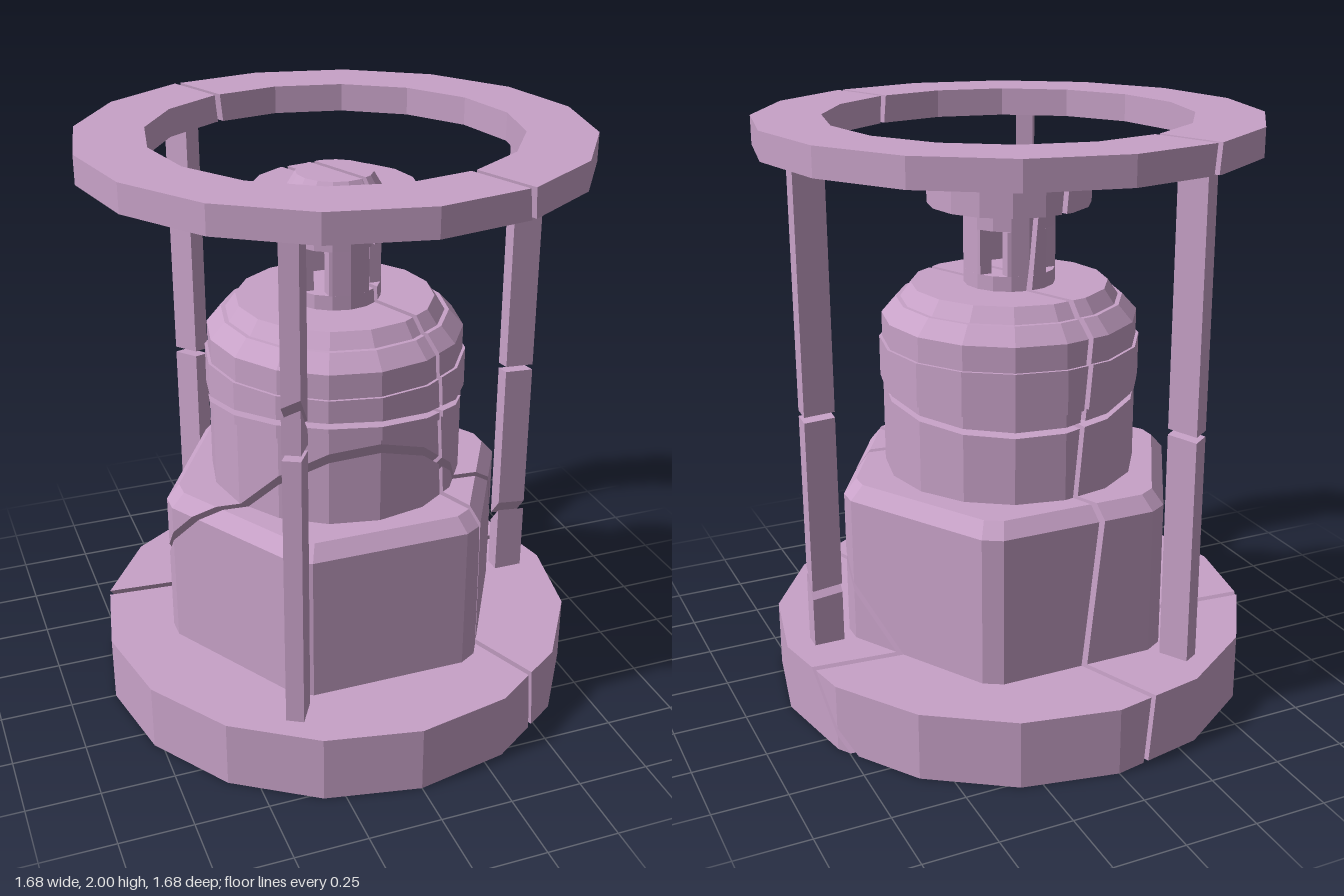
import * as THREE from 'three';

const SIDES = 16;
const HALF_GAP = 0.01;
const material = new THREE.MeshStandardMaterial({ color: 0xc8a2c8, flatShading: true });

// Three crack planes running through everything: normal . p = offset
const cracks = [
  [[1, 0.108, -0.4], 0.216],
  [[0.1, 1, -1.22], 0.535],
  [[0.05, 1, -0.13], 1.1],
].map(([n, d]) => {
  const normal = new THREE.Vector3(...n);
  const len = normal.length();
  return { normal: normal.divideScalar(len), offset: d / len };
});

const average = pts => pts.reduce((s, p) => s.add(p), new THREE.Vector3()).divideScalar(pts.length);

// Flat outlines as [x, z] pairs
const ngon = (r, n = SIDES) => Array.from({ length: n }, (_, i) => {
  const a = (i / n) * Math.PI * 2;
  return [r * Math.cos(a), r * Math.sin(a)];
});
const scaled = (pts, s) => pts.map(([x, z]) => [x * s, z * s]);
const turned = (pts, a) => pts.map(([x, z]) =>
  [x * Math.cos(a) - z * Math.sin(a), x * Math.sin(a) + z * Math.cos(a)]);

// Convex solid between two outlines; faces are wound outwards
function solid(y0, low, y1, high = low, hiddenSides = []) {
  const a = low.map(([x, z]) => new THREE.Vector3(x, y0, z));
  const b = high.map(([x, z]) => new THREE.Vector3(x, y1, z));
  const faces = [{ pts: [...a] }, { pts: [...b] }];
  a.forEach((p, i) => {
    const j = (i + 1) % a.length;
    faces.push({ pts: [p, a[j], b[j], b[i]], hidden: hiddenSides.includes(i) });
  });
  const centre = average([...a, ...b]);
  for (const f of faces) {
    const normal = f.pts[1].clone().sub(f.pts[0]).cross(f.pts[2].clone().sub(f.pts[0]));
    if (normal.dot(average(f.pts).sub(centre)) < 0) f.pts.reverse();
  }
  return faces;
}

// Keep the side where normal . p <= offset and cap the cut
function clip(faces, normal, offset) {
  const kept = [], rim = [];
  for (const { pts, hidden } of faces) {
    const out = [];
    pts.forEach((p, i) => {
      const q = pts[(i + 1) % pts.length];
      const dp = normal.dot(p) - offset, dq = normal.dot(q) - offset;
      if (dp <= 0) out.push(p);
      if (dp * dq < 0) {
        const cut = p.clone().lerp(q, dp / (dp - dq));
        out.push(cut);
        rim.push(cut);
      }
    });
    if (out.length > 2) kept.push({ pts: out, hidden });
  }
  if (kept.length && rim.length > 2) {
    const c = average(rim);
    const u = new THREE.Vector3(0.31, 0.57, 0.76).cross(normal).normalize();
    const v = normal.clone().cross(u);
    const angle = p => Math.atan2(p.clone().sub(c).dot(v), p.clone().sub(c).dot(u));
    kept.push({ pts: rim.sort((p, q) => angle(p) - angle(q)) });
  }
  return kept;
}

// Break the solids along every crack and merge the fragments into one mesh
function part(name, solids) {
  let pieces = solids;
  for (const { normal, offset } of cracks) {
    pieces = pieces.flatMap(f => [
      clip(f, normal, offset - HALF_GAP),
      clip(f, normal.clone().negate(), -offset - HALF_GAP),
    ]).filter(f => f.length);
  }
  const positions = [];
  for (const { pts, hidden } of pieces.flat()) {
    if (hidden) continue;
    const c = average(pts);
    pts.forEach((p, i) => {
      for (const w of [c, p, pts[(i + 1) % pts.length]]) positions.push(w.x, w.y, w.z);
    });
  }
  const geometry = new THREE.BufferGeometry();
  geometry.setAttribute('position', new THREE.Float32BufferAttribute(positions, 3));
  geometry.computeVertexNormals();
  const mesh = new THREE.Mesh(geometry, material);
  mesh.name = name;
  return mesh;
}

const round = (y0, r0, y1, r1 = r0) => solid(y0, ngon(r0), y1, ngon(r1));

export function createModel() {
  const model = new THREE.Group();
  model.name = 'crackedCagedValve';

  // Base plate
  model.add(part('base', [round(0, 0.84, 0.235)]));

  // Hexagonal housing with bevelled corners and a chamfered top
  const corners = ngon(0.624, 6);
  const hex = corners.flatMap(([x, z], i) => [5, 1].map(step => {
    const [nx, nz] = corners[(i + step) % 6];
    return [x + (nx - x) * 0.065, z + (nz - z) * 0.065];
  }));
  model.add(part('hexHousing', [
    solid(0.235, hex, 0.75),
    solid(0.75, hex, 0.8, scaled(hex, 0.926)),
  ]));

  // Round body with a raised band and stepped shoulders
  model.add(part('body', [
    round(0.8, 0.435, 1.1),
    round(1.1, 0.445, 1.25),
    round(1.25, 0.435, 1.335),
    round(1.335, 0.435, 1.39, 0.385),
    round(1.39, 0.37, 1.44, 0.335),
  ]));

  // Neck: collars above and below four pillars that leave open windows
  const pillar = [[0.098, -0.07], [0.138, -0.07], [0.143, -0.059], [0.155, 0],
    [0.143, 0.059], [0.138, 0.07], [0.098, 0.07]];
  model.add(part('neck', [
    round(1.44, 0.155, 1.49),
    ...[0, 1, 2, 3].map(i => solid(1.49, turned(pillar, i * Math.PI / 2), 1.64)),
    round(1.64, 0.155, 1.71),
  ]));

  // Top disc and its small cap
  model.add(part('topDisc', [round(1.71, 0.275, 1.815)]));
  model.add(part('topCap', [round(1.815, 0.158, 1.865, 0.128)]));

  // Three cage posts
  const post = [[0.645, -0.03], [0.75, -0.03], [0.75, 0.03], [0.645, 0.03]];
  for (let i = 0; i < 3; i++) {
    model.add(part('post' + (i + 1), [solid(0.235, turned(post, i * Math.PI * 2 / 3), 1.905)]));
  }

  // Top ring, made of wedge sections
  const outer = ngon(0.84), inner = ngon(0.61);
  model.add(part('topRing', outer.map((p, i) => {
    const j = (i + 1) % SIDES;
    return solid(1.905, [p, outer[j], inner[j], inner[i]], 2, undefined, [1, 3]);
  })));

  return model;
}
